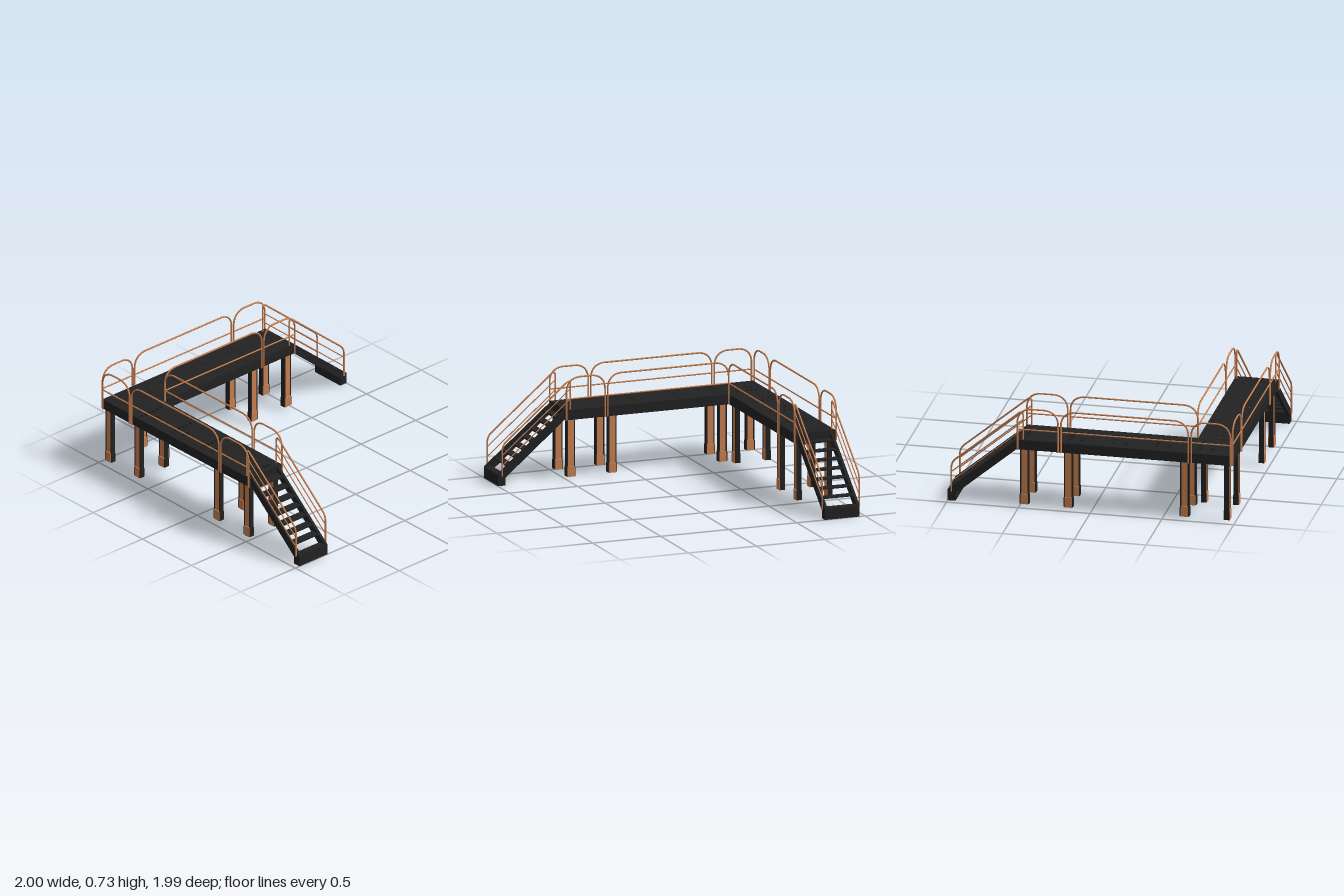
import * as THREE from 'three';

const dark = new THREE.MeshStandardMaterial({ color: 0x222222 });
const copper = new THREE.MeshStandardMaterial({ color: 0xc98050 });

function add(parent, name, geometry, material, x = 0, y = 0, z = 0) {
  const mesh = new THREE.Mesh(geometry, material);
  mesh.name = name;
  mesh.position.set(x, y, z);
  parent.add(mesh);
  return mesh;
}

// Box given by its min/max extents on each axis
function box(parent, name, material, [x0, x1], [y0, y1], [z0, z1]) {
  return add(parent, name, new THREE.BoxGeometry(x1 - x0, y1 - y0, z1 - z0), material,
    (x0 + x1) / 2, (y0 + y1) / 2, (z0 + z1) / 2);
}

// Bent tube through [x, y] points, each inner point rounded by radius r
function tube(parent, name, points, z, r = 0.09, thickness = 0.006) {
  const p = points.map(([x, y]) => new THREE.Vector3(x, y, 0));
  const path = new THREE.CurvePath();
  let from = p[0];
  for (let i = 1; i < p.length - 1; i++) {
    const a = p[i].clone().add(p[i - 1].clone().sub(p[i]).setLength(r));
    const b = p[i].clone().add(p[i + 1].clone().sub(p[i]).setLength(r));
    path.add(new THREE.LineCurve3(from, a));
    path.add(new THREE.QuadraticBezierCurve3(a, p[i].clone().lerp(a.clone().add(b).multiplyScalar(0.5), 0.2), b));
    from = b;
  }
  path.add(new THREE.LineCurve3(from, p[p.length - 1]));
  const segments = p.length > 2 ? 72 : 1;
  add(parent, name, new THREE.TubeGeometry(path, segments, thickness, 8), copper, 0, 0, z);
}

// Hoop-shaped guard rail with one middle bar
function guardRail(parent, x0, x1, z) {
  tube(parent, 'guardRailHoop', [[x0, 0.42], [x0, 0.72], [x1, 0.72], [x1, 0.42]], z);
  tube(parent, 'guardRailMiddleBar', [[x0, 0.57], [x1, 0.57]], z, 0, 0.005);
}

// Post with dark side plates and a wider foot
function leg(parent, x, z) {
  const g = new THREE.Group();
  g.name = 'leg';
  g.position.set(x, 0, z);
  box(g, 'legCore', copper, [-0.023, 0.023], [0.02, 0.44], [-0.014, 0.014]);
  box(g, 'footCore', copper, [-0.026, 0.026], [0.018, 0.09], [-0.021, 0.021]);
  for (const s of [-1, 1]) {
    add(g, 'legSidePlate', new THREE.BoxGeometry(0.008, 0.42, 0.034), dark, s * 0.026, 0.23, 0);
    add(g, 'footSidePlate', new THREE.BoxGeometry(0.008, 0.065, 0.036), dark, s * 0.029, 0.053, 0);
  }
  parent.add(g);
}

// Perforated deck plate with edge beams and cross beams
function deck(parent, x0, columns, dir) {
  const x1 = 0.51, w = 0.148;
  const shape = new THREE.Shape();
  shape.moveTo(x0, -w).lineTo(x1, -w).lineTo(x1, w).lineTo(x0, w).closePath();
  const slot = (x, z, length = 0.018) => {
    const hole = new THREE.Path();
    hole.absellipse(x, -z, length, 0.0065, 0, Math.PI * 2, true);
    shape.holes.push(hole);
  };
  for (const x of columns) {
    [-0.07, -0.035, 0, 0.035, 0.07].forEach((z) => slot(x, z));
    slot(x, dir * 0.107, 0.008);
    [0.035, 0.07].forEach((z) => slot(x + dir * 0.085, dir * z));
  }
  [-0.07, -0.035, 0, 0.035].forEach((z) => slot(0.46, z));
  slot(0.38, -0.07, 0.008);
  const plate = new THREE.ExtrudeGeometry(shape, { depth: 0.01, bevelEnabled: false, curveSegments: 8 });
  plate.rotateX(-Math.PI / 2);
  add(parent, 'deckPlate', plate, dark, 0, 0.48, 0);

  for (const s of [-1, 1]) {
    add(parent, 'edgeBeam', new THREE.BoxGeometry(x1 - x0, 0.065, 0.016), dark, (x0 + x1) / 2, 0.453, s * (w - 0.008));
  }
  box(parent, 'endBeam', dark, [x0, x0 + 0.016], [0.42, 0.485], [-w, w]);
  box(parent, 'endBeam', dark, [x1 - 0.016, x1], [0.42, 0.485], [-w, w]);
  for (const c of [...columns, columns[columns.length - 1] + 0.3]) {
    const x = c + dir * 0.16;
    if (x > x0 + 0.02 && x < 0.36) box(parent, 'crossBeam', dark, [x - 0.02, x + 0.02], [0.43, 0.481], [-w, w]);
  }
}

// Open stair with stringers, treads, bottom block and sloping handrails
function stairs(parent) {
  const g = new THREE.Group();
  g.name = 'stairs';
  const side = new THREE.Shape();
  side.moveTo(0.5, 0.42).lineTo(0.51, 0.42).lineTo(0.95, 0.05).lineTo(1, 0.05)
    .lineTo(1, 0.08).lineTo(0.51, 0.488).lineTo(0.5, 0.488).closePath();
  const stringer = new THREE.ExtrudeGeometry(side, { depth: 0.02, bevelEnabled: false });
  for (const z of [-0.125, 0.11]) add(g, 'stringer', stringer, dark, 0, 0, z);
  for (let i = 0; i < 7; i++) {
    add(g, 'tread', new THREE.BoxGeometry(0.06, 0.01, 0.23), dark, 0.542 + 0.06 * i, 0.433 - 0.05 * i, 0.002);
  }
  box(g, 'bottomBlock', dark, [0.945, 1], [0, 0.08], [-0.125, 0.13]);
  for (const z of [-0.134, 0.137]) {
    tube(g, 'stairHandrail', [[0.472, 0.47], [0.472, 0.705], [0.972, 0.285], [0.972, 0.07]], z, 0.035);
    for (const y of [0.635, 0.565]) {
      tube(g, 'stairMiddleBar', [[0.472, y], [0.972, y - 0.42]], z, 0, 0.004);
    }
  }
  parent.add(g);
}

// One straight walkway along x, centred on z = 0; outer is the side away from the corner's inside
function walkway(name, deckStart, columns, outer) {
  const g = new THREE.Group();
  g.name = name;
  deck(g, deckStart, columns, outer);
  for (const s of [-1, 1]) {
    guardRail(g, -0.682, 0.205, s * 0.153);
    guardRail(g, 0.225, 0.508, s * 0.153);
    for (const x of [-0.65, 0.16, 0.465]) leg(g, x, s * 0.112);
  }
  guardRail(g, -0.975, -0.702, outer * 0.153);
  stairs(g);
  return g;
}

export function createModel() {
  const model = new THREE.Group();
  model.name = 'cornerPlatform';

  const front = walkway('frontWalkway', -0.686, [-0.63, -0.33, -0.03], 1);
  front.position.z = 0.833;
  model.add(front);

  const side = walkway('sideWalkway', -0.98, [-0.74, -0.44, -0.14, 0.16], -1);
  side.rotation.y = Math.PI / 2;
  side.position.x = -0.836;
  model.add(side);

  // Shared leg under the outer corner
  leg(model, -0.943, 0.945);
  return model;
}
